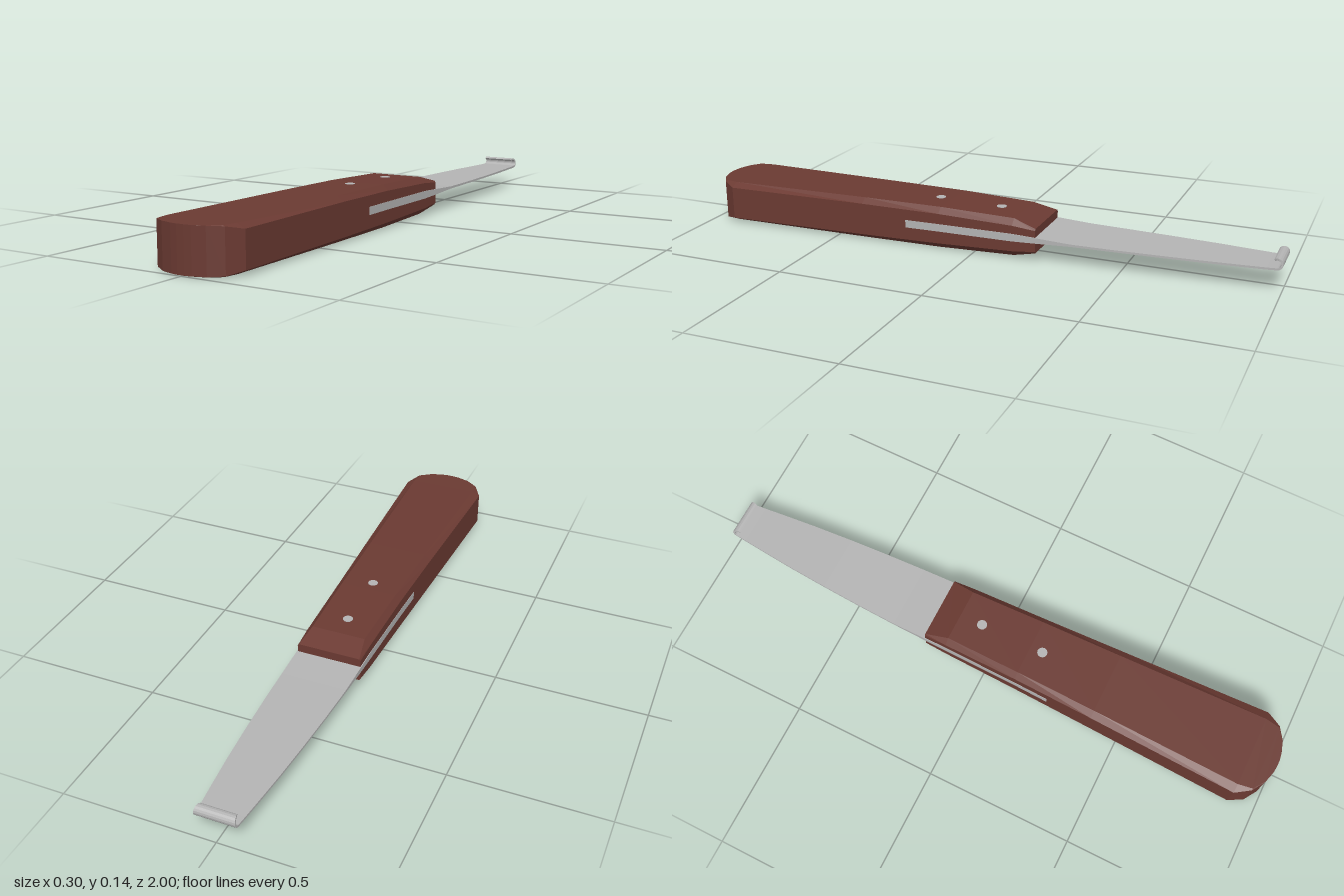
import * as THREE from 'three';

const MID = 0.0735; // height of the handle's centre line

// Joins closed rings of [x, y, z] points, counter-clockwise seen along the path, with capped ends.
function loft(rings) {
  const n = rings[0].length, index = [];
  for (let i = 0; i < rings.length - 1; i++) {
    for (let j = 0; j < n; j++) {
      const a = i * n + j, b = i * n + (j + 1) % n;
      index.push(a, b, b + n, a, b + n, a + n);
    }
  }
  const last = (rings.length - 1) * n;
  for (let j = 1; j < n - 1; j++) {
    index.push(0, j + 1, j, last, last + j, last + j + 1);
  }
  const g = new THREE.BufferGeometry();
  g.setAttribute('position', new THREE.Float32BufferAttribute(rings.flat(2), 3));
  g.setIndex(index);
  const flat = g.toNonIndexed();
  flat.computeVertexNormals();
  return flat;
}

export function createModel() {
  const group = new THREE.Group();
  const wood = new THREE.MeshStandardMaterial({ color: 0x6b3a32, flatShading: true });
  const steel = new THREE.MeshStandardMaterial({ color: 0xb4b4b4, flatShading: true });
  const add = (name, geometry, material) => {
    const mesh = new THREE.Mesh(geometry, material);
    mesh.name = name;
    group.add(mesh);
    return mesh;
  };

  // Handle: chamfered sections [z, half width, side half height, top half width, half height]
  const sections = [
    [-0.22, 0.11, 0.036, 0.106, 0.042],
    [-0.14, 0.112, 0.044, 0.092, 0.064],
    [0.12, 0.118, 0.052, 0.098, 0.071],
    [0.4, 0.128, 0.055, 0.105, 0.0715],
    [0.91, 0.148, 0.056, 0.12, 0.0695],
    [0.958, 0.118, 0.067, 0.112, 0.0695],
    [0.985, 0.076, 0.069, 0.074, 0.0695],
    [0.997, 0.035, 0.069, 0.034, 0.0695],
    [1, 0.012, 0.069, 0.011, 0.0695],
  ];
  add('handle', loft(sections.map(([z, w, sh, tw, h]) => [
    [w, -sh], [w, sh], [tw, h], [-tw, h], [-w, sh], [-w, -sh], [-tw, -h], [tw, -h],
  ].map(([x, y]) => [x, MID + y, z]))), wood);

  // Blade path [z, y, half width, thickness]: tang, taper, thin blade
  const path = [
    [0.24, 0.077, 0.1237, 0.026], [0.12, 0.077, 0.1192, 0.026],
    [-0.14, 0.077, 0.1135, 0.026], [-0.22, 0.077, 0.113, 0.019],
    [-0.34, 0.077, 0.111, 0.008], [-0.48, 0.077, 0.105, 0.007],
    [-0.62, 0.077, 0.097, 0.007], [-0.76, 0.077, 0.087, 0.007],
    [-0.88, 0.077, 0.076, 0.007], [-0.95, 0.077, 0.069, 0.007],
  ];
  // Hook curled up and back over the tip
  const hookSteps = 10, r = 0.0147;
  for (let i = 0; i <= hookSteps; i++) {
    const t = i / hookSteps, a = t * THREE.MathUtils.degToRad(225);
    path.push([-0.982 - r * Math.sin(a), 0.0925 - r * Math.cos(a), 0.066 - 0.009 * t * t, 0.0066]);
  }
  add('blade', loft(path.map(([z, y, w, t], i) => {
    const p = path[Math.max(i - 1, 0)], q = path[Math.min(i + 1, path.length - 1)];
    const dz = q[0] - p[0], dy = q[1] - p[1], len = Math.hypot(dz, dy);
    const ny = -dz / len * t / 2, nz = dy / len * t / 2;
    return [[-1, -1], [1, -1], [1, 1], [-1, 1]].map(([s, x]) => [x * w, y + s * ny, z + s * nz]);
  })), steel);

  // Rivets through the handle, just proud of both faces
  for (const [z, h] of [[-0.06, 0.0675], [0.163, 0.0722]]) {
    add('rivet', new THREE.CylinderGeometry(0.017, 0.017, h * 2, 16), steel)
      .position.set(0, MID, z);
  }
  return group;
}
